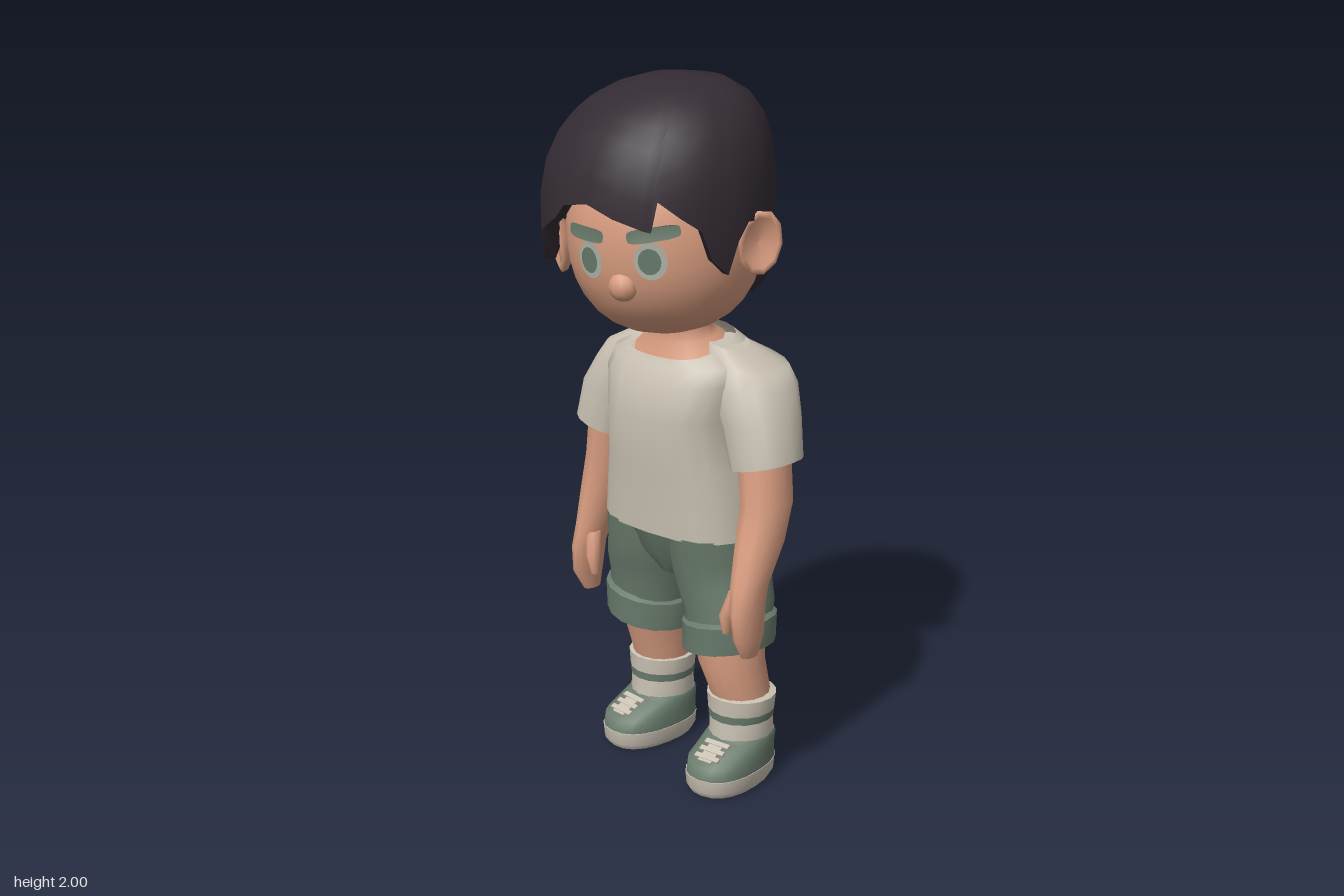
import * as THREE from 'three';

const flat = (name, color) => new THREE.MeshStandardMaterial({ name, color, side: THREE.DoubleSide });
const SKIN = flat('skin', 0xd99d80);
const CLOTH = flat('offWhiteCloth', 0xc9c1b3);
const GREEN = flat('greyGreen', 0x697b6c);
const HAIR = flat('darkHair', 0x332b33);
const EYE = flat('eyeWhite', 0xafb4a8);

function add(parent, name, geometry, material) {
  const mesh = new THREE.Mesh(geometry, material);
  mesh.name = name;
  parent.add(mesh);
  return mesh;
}

// Closed surface through loops of points, listed from bottom to top
function surface(rows) {
  const n = rows[0].length, index = [];
  for (let r = 0; r < rows.length - 1; r++) {
    for (let i = 0; i < n; i++) {
      const a = r * n + i, b = r * n + (i + 1) % n;
      index.push(a, b, b + n, a, b + n, a + n);
    }
  }
  const g = new THREE.BufferGeometry();
  g.setAttribute('position', new THREE.Float32BufferAttribute(rows.flat(2), 3));
  g.setIndex(index);
  g.computeVertexNormals();
  return g;
}

const spow = (v, e) => Math.sign(v) * Math.abs(v) ** e;

// Oval cross-section: [y, centre x, centre z, half width, half depth, tilt over x, tilt over z]
function oval([y, cx, cz, hx, hz, tx = 0, tz = 0], segs, e) {
  return Array.from({ length: segs }, (_, i) => {
    const a = i / segs * Math.PI * 2;
    const x = hx * spow(Math.sin(a), e), z = hz * spow(Math.cos(a), e);
    return [cx + x, y + tx * x + tz * z, cz + z];
  });
}

function loft(specs, { segs = 16, e = 1, bottom = false, top = false } = {}) {
  const rows = specs.map(s => oval(s, segs, e));
  const cap = s => oval([s[0], s[1], s[2], 0, 0], segs, e);
  const last = specs[specs.length - 1];
  if (bottom) rows.unshift(cap(specs[0]), rows[0]);
  if (top) rows.push(rows[rows.length - 1], cap(last));
  return surface(rows);
}

// Rounded head profile
const HEAD = { rx: 0.265, ry: 0.275, rz: 0.265, p: 2.3 };
const round = (t, p) => Math.max(0, 1 - Math.abs(t) ** p) ** (1 / p);
function headZ(x, y) {
  const r = round(y / HEAD.ry, HEAD.p);
  return HEAD.rz * Math.sqrt(Math.max(0, r * r - (x / HEAD.rx) ** 2));
}

// Thin oval plate that follows the face
function facePlate(cx, cy, w, h, tilt, lift, e = 1) {
  const pts = Array.from({ length: 20 }, (_, i) => {
    const a = i / 20 * Math.PI * 2;
    return new THREE.Vector2(w * spow(Math.cos(a), e), h * spow(Math.sin(a), e))
      .rotateAround(new THREE.Vector2(), tilt).add(new THREE.Vector2(cx, cy));
  });
  const g = new THREE.ShapeGeometry(new THREE.Shape(pts));
  const p = g.attributes.position;
  for (let i = 0; i < p.count; i++) p.setZ(i, headZ(p.getX(i), p.getY(i)) + lift);
  g.computeVertexNormals();
  return g;
}

function buildHead(root) {
  const head = new THREE.Group();
  head.name = 'head';
  head.position.set(-0.01, 1.58, 0);
  head.rotation.set(0, 0.25, 0.087, 'YXZ');
  root.add(head);
  const rows = [];
  for (let k = 0; k <= 16; k++) {
    const t = -Math.cos(k / 16 * Math.PI), r = round(t, HEAD.p);
    rows.push([t * HEAD.ry, 0, 0, HEAD.rx * r, HEAD.rz * r]);
  }
  add(head, 'face', loft(rows, { segs: 32 }), SKIN);

  const nose = add(head, 'nose', new THREE.SphereGeometry(0.041, 10, 8), SKIN);
  nose.position.set(0, -0.1, 0.245);
  nose.scale.set(1, 0.98, 0.85);

  // Cupped ear turned on its side
  const cup = [[0, -0.03], [0.55, -0.03], [0.95, 0], [1, 0.014], [0.8, 0.018], [0.6, 0.002], [0, -0.004]];
  for (const s of [1, -1]) {
    const side = s > 0 ? 'left' : 'right';
    const earShape = new THREE.LatheGeometry(cup.map(([r, y]) => new THREE.Vector2(r * 0.09, y)), 10);
    earShape.scale(1, 1, 0.68);
    earShape.rotateZ(-Math.PI / 2);
    if (s < 0) earShape.rotateY(Math.PI);
    const ear = add(head, side + 'Ear', earShape, SKIN);
    ear.position.set(s * 0.291, -0.02, s > 0 ? 0.02 : 0.07);
    ear.rotation.set(-0.15, -s * 0.75, -s * 0.12, 'YXZ');

    add(head, side + 'EyeWhite', facePlate(s * 0.09, -0.03, 0.042, 0.05, 0, 0.004), EYE);
    add(head, side + 'Iris', facePlate(s * 0.09, -0.03, 0.029, 0.035, 0, 0.008), GREEN);
    add(head, side + 'Brow', facePlate(s * 0.1, 0.04, 0.066, 0.019, s * 0.1, 0.007, 0.5), GREEN);
  }
}

function buildHair(root) {
  // Lower edge of the hair: [angle from the front toward +x, height]
  const edge = [[-165, 1.385], [-150, 1.39], [-135, 1.43], [-118, 1.49], [-105, 1.54], [-92, 1.6], [-84, 1.62],
    [-72, 1.63], [-58, 1.645], [-54, 1.6], [-49, 1.505], [-43, 1.505], [-39, 1.59], [-28, 1.62], [-20, 1.645],
    [-13, 1.685], [3, 1.7], [18, 1.67], [33, 1.645], [37, 1.64], [40, 1.72], [52, 1.675], [62, 1.64], [68, 1.56],
    [78, 1.515], [83, 1.6], [90, 1.65], [101, 1.64], [108, 1.54], [122, 1.49], [135, 1.44], [148, 1.39],
    [165, 1.385], [180, 1.385]];
  const cy = 1.65, p = 2.5, steps = 8;
  const at = (az, y, k) => {
    const a = az * Math.PI / 180, c = (y - cy) / (y > cy ? 0.35 : 0.4);
    const swept = 1 + 0.06 * Math.exp(-(((az + 45) / 25) ** 2)); // fuller over the right brow
    const r = round(c, p) * k * swept, lean = Math.max(0, c) ** 2;
    return [-0.022 + 0.02 * lean + 0.309 * r * Math.sin(a), y, -0.06 * lean + 0.305 * r * Math.cos(a)];
  };
  const rows = [];
  for (let k = steps; k >= 0; k--) {
    rows.push(edge.map(([az, low]) => {
      const c = (low - cy) / (low > cy ? 0.35 : 0.4);
      const t = Math.cos(Math.acos(c) * k / steps);
      return at(az, cy + (t > 0 ? 0.35 : 0.4) * t, 1);
    }));
  }
  add(root, 'hair', surface(rows), HAIR);
  // Thickness of the hair edge
  const rim = [edge.map(([az, y]) => at(az, y + 0.03, 0.86)), edge.map(([az, y]) => at(az, y, 0.91)), rows[0]];
  add(root, 'hairRim', surface(rim), HAIR);
}

function buildTorso(root) {
  add(root, 'neck', loft([[1.255, 0, -0.06, 0.148, 0.113, 0, -0.27], [1.29, 0.005, -0.055, 0.105, 0.09, 0, -0.15],
    [1.32, 0.005, -0.05, 0.09, 0.082], [1.42, 0, -0.03, 0.09, 0.082]]), SKIN);
  add(root, 'shirt', loft([[0.735, 0, -0.1, 0.25, 0.185], [0.93, 0, -0.09, 0.222, 0.19],
    [1.08, 0, -0.073, 0.2, 0.193], [1.18, 0, -0.08, 0.225, 0.172], [1.235, 0, -0.08, 0.215, 0.145, 0, -0.1],
    [1.272, 0, -0.06, 0.15, 0.115, 0, -0.27]], { segs: 20, e: 0.74 }), CLOTH);
  add(root, 'shortsSeat', loft([[0.595, 0.005, -0.09, 0.05, 0.1], [0.67, 0, -0.095, 0.17, 0.148],
    [0.75, 0, -0.1, 0.243, 0.178]], { segs: 20, e: 0.85, bottom: true, top: true }), GREEN);
}

function buildArm(root, s) {
  const side = s > 0 ? 'left' : 'right';
  // Right hand hangs further back and out
  const swing = s > 0 ? 0 : -0.065, out = s > 0 ? 0 : -0.014;
  const place = rows => rows.map(([y, x, z, hx, hz, tx = 0]) => {
    const f = Math.min(1, Math.max(0, (0.95 - y) / 0.3));
    return [y, s * x + out * f, z + swing * f, hx, hz, s * tx];
  });
  add(root, side + 'Sleeve', loft(place([[0.965, 0.293, -0.08, 0.092, 0.098, 0.25], [1.08, 0.262, -0.092, 0.098, 0.11, 0.2],
    [1.17, 0.21, -0.115, 0.114, 0.122], [1.235, 0.18, -0.12, 0.118, 0.108, -0.2], [1.278, 0.135, -0.1, 0.05, 0.06, -0.2]]),
  { e: 0.85, top: true }), CLOTH);
  add(root, side + 'Arm', loft(place([[0.44, 0.328, 0.025, 0.018, 0.03], [0.5, 0.333, 0.035, 0.03, 0.055],
    [0.58, 0.328, 0.035, 0.036, 0.062], [0.65, 0.32, 0.017, 0.047, 0.064], [0.76, 0.31, -0.037, 0.06, 0.083],
    [0.865, 0.301, -0.073, 0.068, 0.083], [1.05, 0.275, -0.083, 0.074, 0.082]]), { segs: 12, bottom: true }), SKIN);
  add(root, side + 'Thumb', loft(place([[0.505, 0.277, 0.06, 0.012, 0.015], [0.56, 0.281, 0.066, 0.022, 0.022],
    [0.63, 0.3, 0.045, 0.024, 0.026]]), { segs: 8, bottom: true, top: true }), SKIN);
}

function buildLeg(root, s) {
  const left = s > 0, side = left ? 'left' : 'right';
  const hip = left ? 0.173 : -0.147, foot = left ? 0.206 : -0.155;
  const back = left ? 0 : -0.06, hipZ = left ? -0.07 : -0.095, tilt = s * 0.15;
  add(root, side + 'ShortsLeg', loft([[0.42, hip, hipZ, 0.115, 0.118, tilt], [0.52, hip * 0.97, hipZ - 0.005, 0.122, 0.125, tilt],
    [0.6, s * 0.128, -0.09, 0.127, 0.143], [0.67, s * 0.118, -0.096, 0.127, 0.162],
    [0.74, s * 0.115, -0.099, 0.127, 0.174]], { e: 0.9 }), GREEN);
  add(root, side + 'ShortsCuff', loft([[0.43, hip, hipZ, 0.1, 0.1, tilt], [0.405, hip, hipZ, 0.132, 0.132, tilt],
    [0.405, hip, hipZ, 0.132, 0.132, tilt], [0.487, hip, hipZ, 0.135, 0.135, tilt],
    [0.487, hip, hipZ, 0.135, 0.135, tilt], [0.497, hip, hipZ, 0.118, 0.12, tilt]]), GREEN);
  add(root, side + 'Leg', loft([[0.2, foot, -0.088 + back, 0.082, 0.082], [0.27, foot * 0.98, -0.083 + back, 0.087, 0.087],
    [0.36, (hip + foot) / 2, -0.062 + back, 0.094, 0.097], [0.48, hip, -0.065 + back / 2, 0.1, 0.1]]), SKIN);

  // Shoe and sock, stacked in bands
  const shoe = new THREE.Group();
  shoe.name = side + 'Shoe';
  shoe.position.set(foot + s * 0.008, 0, back);
  shoe.rotation.y = s * 0.09;
  root.add(shoe);
  const shape = { segs: 20, e: 0.85 };
  add(shoe, 'sole', loft([[0, 0, -0.037, 0.088, 0.14], [0.018, 0, -0.037, 0.098, 0.152],
    [0.055, 0, -0.037, 0.101, 0.155]], { ...shape, bottom: true, top: true }), CLOTH);
  add(shoe, 'upper', loft([[0.055, 0, -0.038, 0.099, 0.153], [0.09, 0, -0.04, 0.098, 0.148],
    [0.132, 0, -0.085, 0.092, 0.103], [0.14, 0, -0.088, 0.088, 0.095]], { ...shape, top: true }), GREEN);
  add(shoe, 'ankleSock', loft([[0.138, 0, -0.088, 0.09, 0.097], [0.19, 0, -0.088, 0.09, 0.094]]), CLOTH);
  add(shoe, 'sockStripe', loft([[0.19, 0, -0.088, 0.092, 0.096], [0.213, 0, -0.088, 0.095, 0.097]]), GREEN);
  add(shoe, 'sockTop', loft([[0.213, 0, -0.088, 0.095, 0.097], [0.26, 0, -0.088, 0.1, 0.099],
    [0.26, 0, -0.088, 0.1, 0.099], [0.265, 0, -0.087, 0.08, 0.08]]), CLOTH);
  // Tongue and laces along the instep
  const onInstep = (name, t, w, d, lift) => {
    const m = add(shoe, name, new THREE.BoxGeometry(w, 0.008, d), CLOTH);
    m.position.set(0, 0.09 + 0.042 * t + lift, 0.107 - 0.089 * t);
    m.rotation.x = 0.44;
  };
  onInstep('tongue', 0.58, 0.045, 0.075, 0.002);
  for (const t of [0.35, 0.62, 0.9]) onInstep('lace', t, 0.08, 0.015, 0.004);
}

export function createModel() {
  const root = new THREE.Group();
  root.name = 'boy';
  buildHead(root);
  buildHair(root);
  buildTorso(root);
  for (const s of [1, -1]) {
    buildArm(root, s);
    buildLeg(root, s);
  }
  return root;
}
